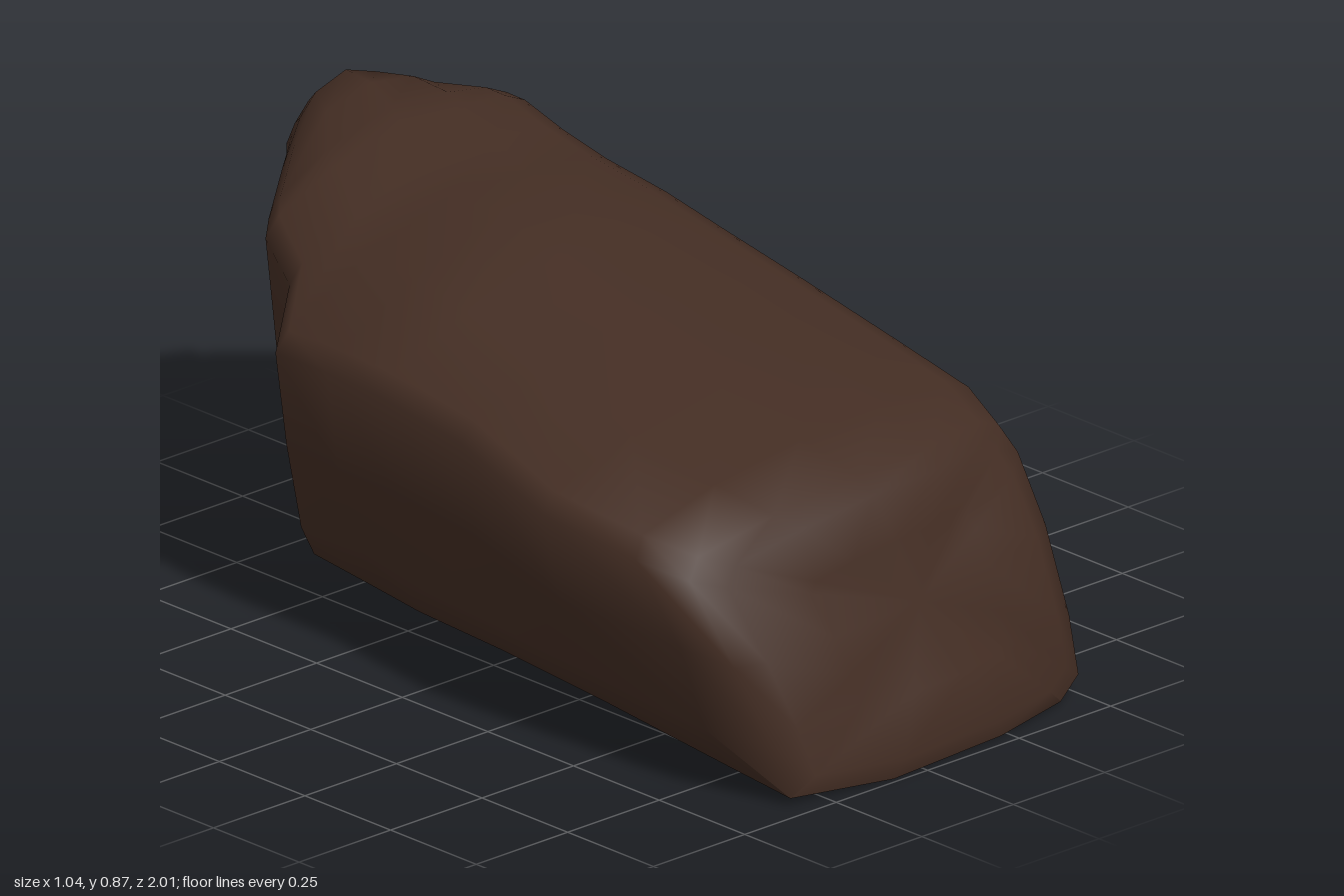
import * as THREE from 'three';
import { toCreasedNormals } from 'three/addons/utils/BufferGeometryUtils.js';

// Cross-sections from front to back:
// z bottom, z top, bow, x bottom left edge, x left, x right, x bottom right edge,
// y bottom, y left shoulder, y crown, y right shoulder, lift of the bottom left edge
const SECTIONS = [
  [0.92, 0.72, 0.07, -0.33, -0.45, 0.46, 0.50, 0.00, 0.50, 0.575, 0.575, 0.02],
  [0.80, 0.62, 0.02, -0.37, -0.50, 0.48, 0.52, 0.00, 0.53, 0.615, 0.62, 0.06],
  [0.45, 0.42, 0, -0.38, -0.52, 0.48, 0.52, 0.01, 0.56, 0.67, 0.66, 0.09],
  [0.15, 0.15, 0, -0.37, -0.48, 0.48, 0.51, 0.015, 0.62, 0.74, 0.71, 0.10],
  [-0.10, -0.08, 0, -0.36, -0.48, 0.48, 0.50, 0.02, 0.65, 0.79, 0.75, 0.10],
  [-0.25, -0.25, 0, -0.35, -0.47, 0.48, 0.50, 0.03, 0.65, 0.835, 0.78, 0.10],
  [-0.45, -0.42, 0, -0.32, -0.44, 0.48, 0.50, 0.03, 0.63, 0.815, 0.80, 0.10],
  [-0.56, -0.55, 0, -0.16, -0.29, 0.48, 0.50, 0.035, 0.70, 0.83, 0.825, 0.08],
  [-0.69, -0.67, 0, -0.09, -0.24, 0.49, 0.48, 0.06, 0.75, 0.87, 0.85, 0.04],
  [-0.72, -0.74, 0, -0.07, -0.18, 0.50, 0.48, 0.25, 0.76, 0.875, 0.845, 0.02],
  [-0.84, -0.86, 0, 0.02, -0.03, 0.47, 0.44, 0.31, 0.79, 0.875, 0.83, 0.02],
  [-0.92, -0.93, -0.02, 0.07, 0.06, 0.41, 0.39, 0.38, 0.80, 0.872, 0.81, 0.02],
];

// Closed outline of one section, counter-clockwise seen from the front
function outline([zb, zt, bow, bl, l, r, br, yb, yl, ym, yr, lift], row) {
  const lerp = THREE.MathUtils.lerp;
  const h = yr - yb, hl = yl - yb;
  const wave = 0.012 * Math.sin(row * 2.1);
  const points = [
    [bl, yb + lift], [lerp(bl, br, 0.3), yb + 0.004], [lerp(bl, br, 0.67), yb + 0.008],
    [br - 0.07, yb + 0.012], [br, yb + 0.045],
    [lerp(br, r, 0.35) - Math.abs(wave), yb + h * 0.3], [lerp(br, r, 0.7) + wave * 0.5, yb + h * 0.62],
    [r, yr - 0.08], [r - 0.025, yr - 0.025], [r - 0.08, yr],
    [lerp(l, r, 0.73), Math.max(yr, lerp(ym, yr, 0.4))], [lerp(l, r, 0.5), ym],
    [lerp(l, r, 0.25), lerp(yl, ym, 0.55) + 0.01], [l + 0.035, yl + 0.01], [l, yl - 0.03],
    [lerp(bl, l, 0.68) + wave, yb + hl * 0.6], [lerp(bl, l, 0.3) - wave, yb + hl * 0.28],
  ];
  const mid = (l + r) / 2, half = (r - l) / 2;
  return points.map(([x, y]) => {
    const u = (x - mid) / half;
    const t = (y - yb) / (ym - yb);
    return new THREE.Vector3(x, y, lerp(zb, zt, t * t) + bow * (1 - u * u));
  });
}

const centreOf = (ring) => ring.reduce((s, p) => s.add(p), new THREE.Vector3()).divideScalar(ring.length);

// Shrunken copy of a ring, pushed along z to round off an end
function inset(ring, scale, push) {
  const c = centreOf(ring);
  return ring.map((p) => p.clone().sub(c).multiplyScalar(scale).add(c).add(new THREE.Vector3(0, 0, push)));
}

function rockGeometry() {
  const body = SECTIONS.map(outline);
  const front = body[0], back = body[body.length - 1];
  const rings = [inset(front, 0.5, 0.042), inset(front, 0.87, 0.03), ...body, inset(back, 0.84, -0.04), inset(back, 0.5, -0.065)];
  const n = front.length;
  const points = rings.flat();
  const indices = [];
  for (let i = 0; i < rings.length - 1; i++) {
    for (let j = 0; j < n; j++) {
      const k = (j + 1) % n;
      const a = i * n + j, b = i * n + k, c = a + n, d = b + n;
      indices.push(a, c, b, b, c, d);
    }
  }
  // End caps
  const last = (rings.length - 1) * n;
  const frontTip = points.push(centreOf(rings[0])) - 1;
  const backTip = points.push(centreOf(rings[rings.length - 1])) - 1;
  for (let j = 0; j < n; j++) {
    const k = (j + 1) % n;
    indices.push(frontTip, j, k, backTip, last + k, last + j);
  }
  const geometry = new THREE.BufferGeometry().setFromPoints(points);
  geometry.setIndex(indices);
  return toCreasedNormals(geometry, 1.2);
}

export function createModel() {
  const group = new THREE.Group();
  group.name = 'boulder';
  const stone = new THREE.MeshStandardMaterial({ color: 0x432d23 });
  stone.name = 'dark brown stone';
  const rock = new THREE.Mesh(rockGeometry(), stone);
  rock.name = 'rock';
  group.add(rock);
  return group;
}
